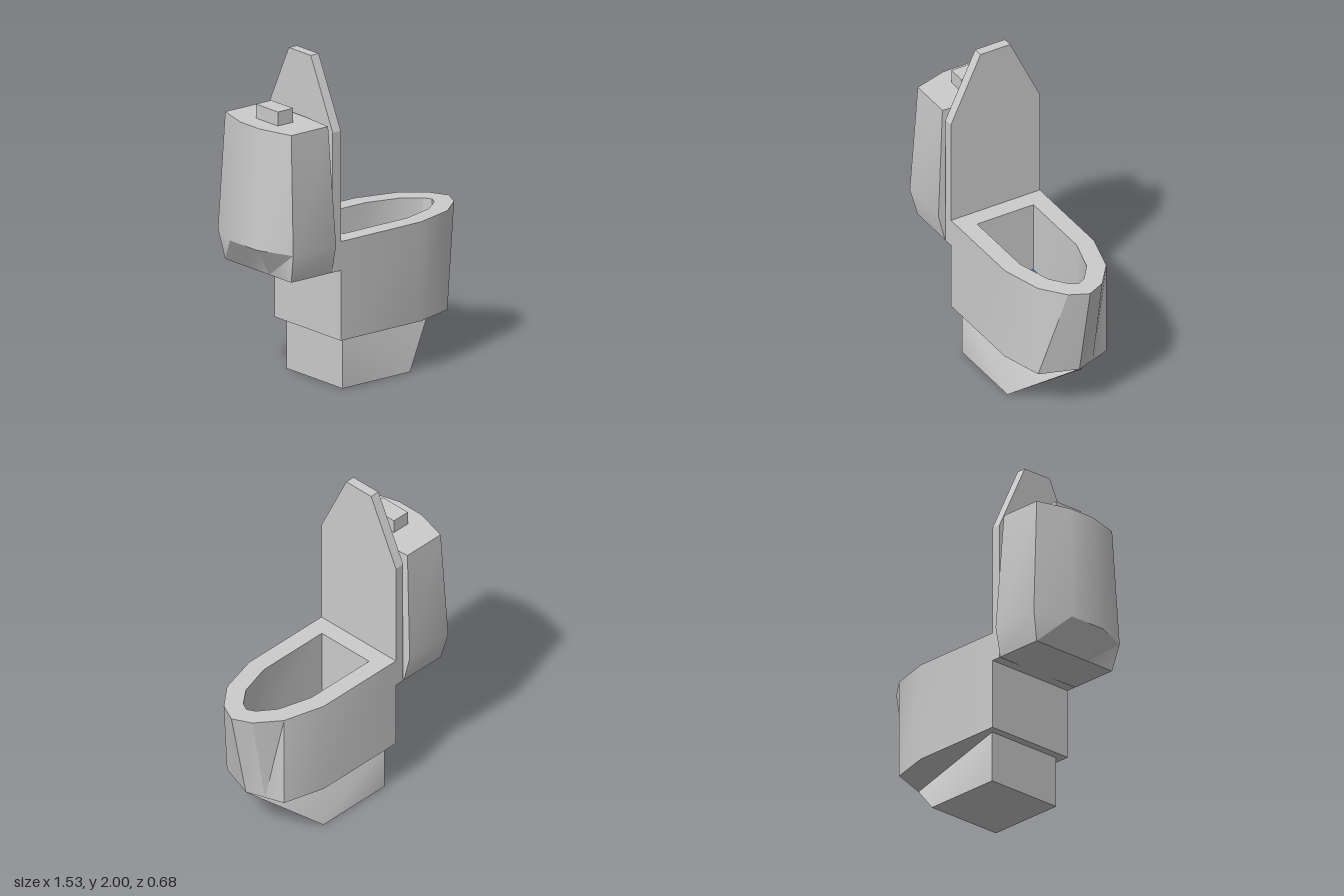
import * as THREE from 'three';
import { toCreasedNormals } from 'three/addons/utils/BufferGeometryUtils.js';
import { ConvexGeometry } from 'three/addons/geometries/ConvexGeometry.js';

const grey = new THREE.MeshStandardMaterial({ color: 0xcccccc });
const blue = new THREE.MeshStandardMaterial({ color: 0x2f80cc });

// Completes a half outline of [x, z] points by mirroring it across z = 0
function mirrorOutline(half) {
  const other = half.filter(([, z]) => z > 0).reverse().map(([x, z]) => [x, -z]);
  return [...half, ...other];
}

// Skins a list of { y, half } sections and caps both ends
function loft(sections, crease) {
  const rings = sections.map(({ y, half }) =>
    mirrorOutline(half).map(([x, z]) => [x, y, z]));
  const n = rings[0].length;
  const last = rings.length - 1;
  const pos = [];
  const tri = (a, b, c) => pos.push(...a, ...b, ...c);
  for (let r = 0; r < last; r++) {
    for (let i = 0; i < n; i++) {
      const j = (i + 1) % n;
      const [a, b] = [rings[r], rings[r + 1]];
      tri(a[i], a[j], b[j]);
      tri(a[i], b[j], b[i]);
    }
  }
  for (let i = 1; i < n - 1; i++) {
    tri(rings[0][0], rings[0][i + 1], rings[0][i]);
    tri(rings[last][0], rings[last][i], rings[last][i + 1]);
  }
  const geo = new THREE.BufferGeometry();
  geo.setAttribute('position', new THREE.Float32BufferAttribute(pos, 3));
  return toCreasedNormals(geo, crease);
}

export function createModel() {
  const group = new THREE.Group();
  const add = (name, geometry, material = grey) => {
    const mesh = new THREE.Mesh(geometry, material);
    mesh.name = name;
    group.add(mesh);
    return mesh;
  };

  // Foot: square-backed wedge rising to a point under the bowl's tip
  const foot = [new THREE.Vector3(0.645, 0.31, 0)];
  for (const s of [-1, 1]) {
    foot.push(
      new THREE.Vector3(-0.24, 0, 0.255 * s),
      new THREE.Vector3(0.265, 0, 0.255 * s),
      new THREE.Vector3(-0.24, 0.31, 0.255 * s));
  }
  add('foot', toCreasedNormals(new ConvexGeometry(foot), 0.6));

  // Bowl: outer wall, flat rim, inner wall and floor in one skin
  const inner = [[-0.18, 0.19], [0.3, 0.19], [0.51, 0.13], [0.615, 0.05], [0.64, 0]];
  const floorY = 0.45;
  add('bowl', loft([
    { y: 0.31, half: [[-0.29, 0.3], [0.31, 0.3], [0.565, 0.23], [0.605, 0.115], [0.645, 0]] },
    { y: 0.91, half: [[-0.29, 0.3], [0.31, 0.3], [0.565, 0.23], [0.71, 0.115], [0.765, 0]] },
    { y: 0.91, half: inner },
    { y: floorY, half: inner },
  ], 0.42));

  // Water: flat sheet with a rounded front
  const water = new THREE.Shape();
  water.moveTo(-0.178, -0.187);
  water.lineTo(0.06, -0.187);
  water.absellipse(0.06, 0, 0.195, 0.187, -Math.PI / 2, Math.PI / 2, false);
  water.lineTo(-0.178, 0.187);
  const sheet = add('water', new THREE.ShapeGeometry(water, 16).rotateX(-Math.PI / 2), blue);
  sheet.position.y = floorY + 0.01;

  // Raised lid, its lower end joining the bowl to the tank
  const lid = new THREE.Shape([
    [-0.3, 0.735], [0.3, 0.735], [0.3, 1.58], [0.1, 2], [-0.1, 2], [-0.3, 1.58],
  ].map(([z, y]) => new THREE.Vector2(z, y)));
  const lidGeo = new THREE.ExtrudeGeometry(lid, { depth: 0.06, bevelEnabled: false });
  add('lid', lidGeo.rotateY(Math.PI / 2).translate(-0.35, 0, 0));

  // Tank: eight-sided, widest low down
  add('tank', loft([
    { y: 0.735, half: [[-0.66, 0.1], [-0.66, 0.3], [-0.355, 0.3], [-0.35, 0.1]] },
    { y: 0.91, half: [[-0.77, 0.125], [-0.68, 0.342], [-0.36, 0.342], [-0.35, 0.125]] },
    { y: 1.625, half: [[-0.72, 0.09], [-0.66, 0.3], [-0.385, 0.3], [-0.368, 0.09]] },
  ], 0.5));

  // Flush button
  add('flushButton', new THREE.BoxGeometry(0.115, 0.1, 0.2)).position.set(-0.545, 1.66, 0.008);

  return group;
}
